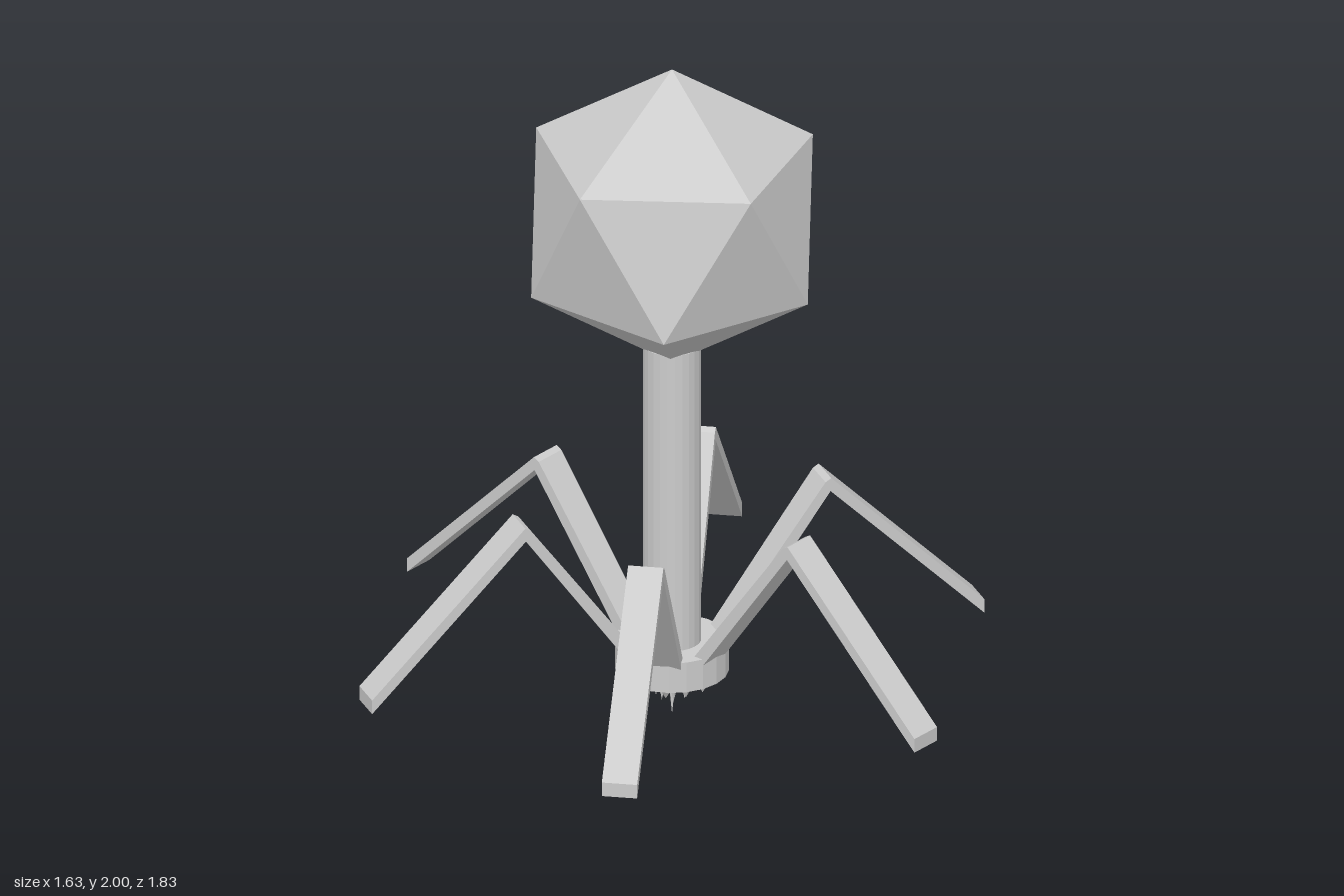
import * as THREE from 'three';

export function createModel() {
  const model = new THREE.Group();
  const material = new THREE.MeshStandardMaterial({ color: 0xcccccc, flatShading: true });

  const add = (name, geometry, parent = model) => {
    const mesh = new THREE.Mesh(geometry, material);
    mesh.name = name;
    parent.add(mesh);
    return mesh;
  };

  // Icosahedral head standing on one of its corners
  const head = new THREE.IcosahedronGeometry(0.455, 0);
  head.rotateZ(Math.atan(2 / (1 + Math.sqrt(5))));
  add('head', head).position.y = 1.545;

  // Tail tube and base plate
  add('tail', new THREE.CylinderGeometry(0.082, 0.082, 0.97, 24)).position.y = 0.665;
  add('basePlate', new THREE.CylinderGeometry(0.16, 0.16, 0.092, 20)).position.y = 0.187;

  // Six bent legs: flat strips with a sharp knee, x is the distance from the axis
  const profile = new THREE.Shape([
    [0.09, 0.19], [0.135, 0.19], [0.455, 0.635], [0.915, 0.178],
    [0.915, 0.22], [0.457, 0.675], [0.44, 0.665], [0.09, 0.17],
  ].map(([x, y]) => new THREE.Vector2(x, y)));
  const legGeometry = new THREE.ExtrudeGeometry(profile, { depth: 0.1, bevelEnabled: false });
  legGeometry.translate(0, 0, -0.05);
  for (let i = 0; i < 6; i++) {
    add('leg', legGeometry).rotation.y = Math.PI / 6 + i * Math.PI / 3;
  }

  // Spikes under the base plate, longer towards the middle
  const spikes = new THREE.Group();
  spikes.name = 'spikes';
  model.add(spikes);
  const rings = [
    { count: 12, ring: 0.11, radius: 0.028, length: 0.045 },
    { count: 8, ring: 0.045, radius: 0.02, length: 0.085 },
    { count: 1, ring: 0, radius: 0.018, length: 0.145 },
  ];
  for (const { count, ring, radius, length } of rings) {
    const cone = new THREE.ConeGeometry(radius, length, 4);
    cone.rotateX(Math.PI);
    for (let i = 0; i < count; i++) {
      const a = (i / count) * Math.PI * 2;
      const spike = add('spike', cone, spikes);
      spike.position.set(ring * Math.cos(a), 0.145 - length / 2, ring * Math.sin(a));
      spike.rotation.y = -a;
    }
  }

  return model;
}
